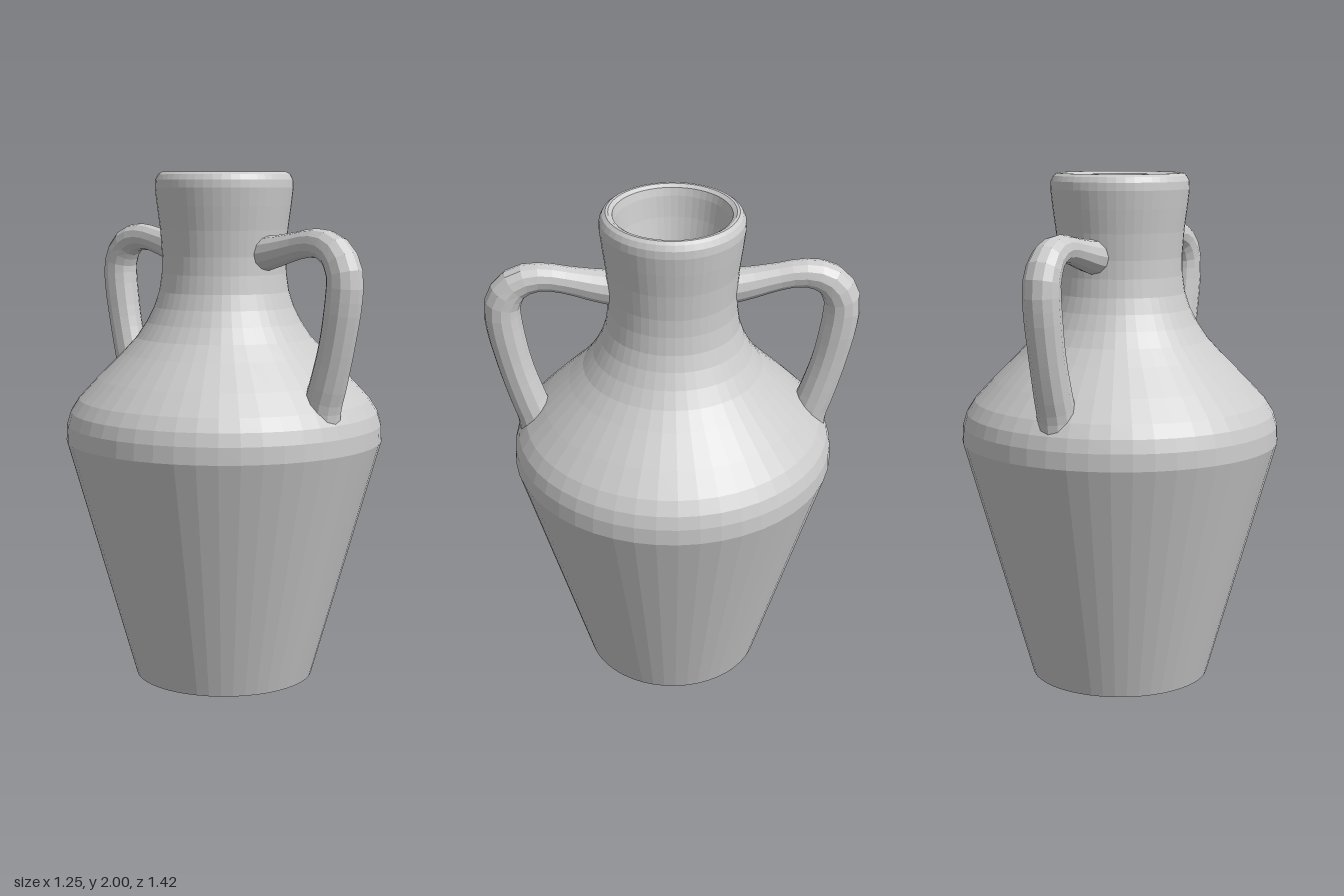
import * as THREE from 'three';

const clay = new THREE.MeshStandardMaterial({ color: 0xcccccc, flatShading: true, side: THREE.DoubleSide });
const SIDES = 48;

function lathe(name, profile) {
  const geometry = new THREE.LatheGeometry(profile.map(([r, y]) => new THREE.Vector2(r, y)), SIDES);
  const mesh = new THREE.Mesh(geometry, clay);
  mesh.name = name;
  return mesh;
}

// Tube in the yz plane whose thickness follows a list of radii along its length
function handle(name, path, radii) {
  const curve = new THREE.CatmullRomCurve3(path.map(([z, y]) => new THREE.Vector3(0, y, z)));
  const steps = 22, sides = 12;
  const geometry = new THREE.TubeGeometry(curve, steps, 1, sides);
  const pos = geometry.attributes.position;
  const v = new THREE.Vector3();
  for (let i = 0; i <= steps; i++) {
    const centre = curve.getPointAt(i / steps);
    const t = (i / steps) * (radii.length - 1);
    const k = Math.min(Math.floor(t), radii.length - 2);
    const radius = THREE.MathUtils.lerp(radii[k], radii[k + 1], t - k);
    for (let j = 0; j <= sides; j++) {
      const n = i * (sides + 1) + j;
      v.fromBufferAttribute(pos, n).sub(centre).multiplyScalar(radius).add(centre);
      pos.setXYZ(n, v.x, v.y, v.z);
    }
  }
  geometry.computeVertexNormals();
  const mesh = new THREE.Mesh(geometry, clay);
  mesh.name = name;
  return mesh;
}

export function createModel() {
  const jar = new THREE.Group();
  jar.name = 'twoHandledJar';

  // Outer wall: open foot ring, tapered body, shoulder, neck and rolled lip
  jar.add(lathe('outerWall', [
    [0.355, 0], [0.625, 0.955], [0.622, 1.02], [0.607, 1.07], [0.575, 1.12],
    [0.5, 1.2], [0.4, 1.3], [0.345, 1.36], [0.305, 1.42], [0.275, 1.48],
    [0.255, 1.54], [0.245, 1.61], [0.243, 1.68], [0.25, 1.78], [0.262, 1.87],
    [0.27, 1.94], [0.268, 1.97], [0.258, 1.99], [0.245, 2], [0.235, 2],
  ]));

  // Inner wall: from the lip down the throat and into the hollow belly
  jar.add(lathe('innerWall', [
    [0.235, 2], [0.22, 1.99], [0.212, 1.96], [0.2, 1.88], [0.175, 1.76],
    [0.165, 1.66], [0.17, 1.57], [0.19, 1.48], [0.235, 1.38], [0.34, 1.27],
    [0.45, 1.16], [0.53, 1.07], [0.56, 0.98], [0.555, 0.93], [0.35, 0.2],
  ]));

  // Slightly dished, uneven floor set above the open foot
  const floor = lathe('innerFloor', [
    [0.35, 0.2], [0.335, 0.15], [0.3, 0.11], [0.22, 0.09], [0.12, 0.085], [0, 0.085],
  ]);
  const p = floor.geometry.attributes.position;
  for (let i = 0; i < p.count; i++) {
    const x = p.getX(i), z = p.getZ(i), r = Math.hypot(x, z);
    if (r < 0.34) p.setY(i, p.getY(i) + 0.04 * r * Math.cos(9 * Math.atan2(z, x)));
  }
  jar.add(floor);

  // Matching handles from neck to shoulder, front and back
  const path = [
    [0.215, 1.69], [0.28, 1.7], [0.38, 1.722], [0.47, 1.738], [0.54, 1.733], [0.6, 1.7],
    [0.638, 1.63], [0.637, 1.55], [0.605, 1.37], [0.56, 1.21], [0.537, 1.14], [0.53, 1.07],
  ];
  const radii = [0.068, 0.06, 0.052, 0.052, 0.06, 0.068, 0.07, 0.07, 0.068, 0.068, 0.07, 0.072, 0.072];
  const front = handle('frontHandle', path, radii);
  const back = handle('backHandle', path, radii);
  back.rotation.y = Math.PI;
  jar.add(front, back);

  return jar;
}
